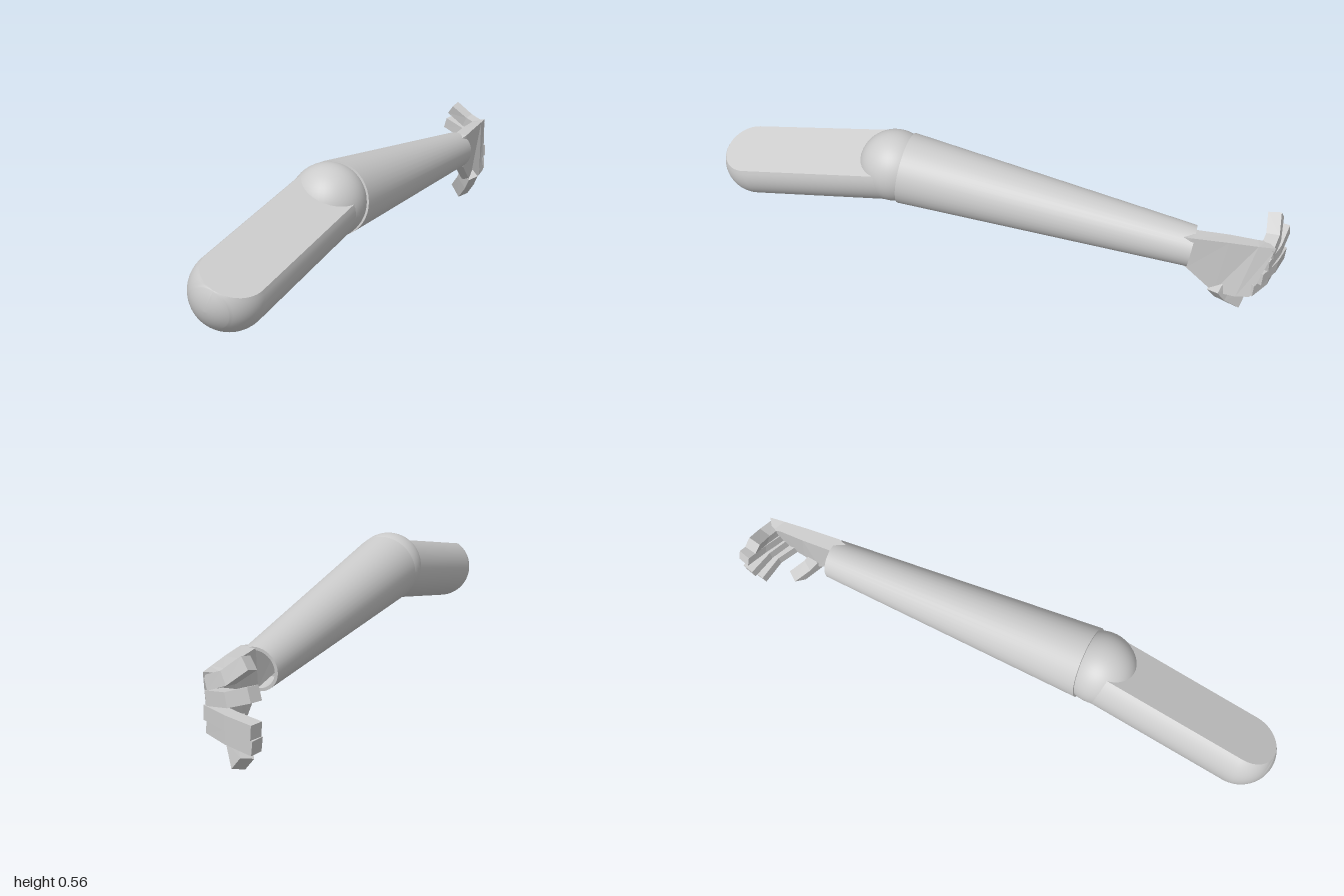
import * as THREE from 'three';
import { toCreasedNormals } from 'three/addons/utils/BufferGeometryUtils.js';

const V = (x, y, z) => new THREE.Vector3(x, y, z);
const smooth = new THREE.MeshStandardMaterial({ color: 0xcccccc });
const faceted = new THREE.MeshStandardMaterial({ color: 0xcccccc, flatShading: true });

// Surface through rows of points
function grid(rows, closed = false, caps = false) {
  const n = rows[0].length, index = [];
  for (let i = 0; i < rows.length - 1; i++) {
    for (let j = 0; j < (closed ? n : n - 1); j++) {
      const a = i * n + j, b = i * n + (j + 1) % n;
      index.push(a, b, a + n, b, b + n, a + n);
    }
  }
  if (caps) {
    const e = (rows.length - 1) * n;
    for (let j = 1; j < n - 1; j++) index.push(0, j + 1, j, e, e + j, e + j + 1);
  }
  const geo = new THREE.BufferGeometry().setFromPoints(rows.flat());
  geo.setIndex(index);
  geo.computeVertexNormals();
  return geo;
}

function add(parent, name, geo, mat) {
  const mesh = new THREE.Mesh(geo, mat);
  mesh.name = name;
  parent.add(mesh);
  return mesh;
}

// Square-section digit along a bent path
function digit(path, halfWidth, halfDepth) {
  const rows = path.map((p, i) => {
    const t = path[Math.min(i + 1, path.length - 1)].clone()
      .sub(path[Math.max(i - 1, 0)]).normalize();
    const u = t.clone().cross(V(1, 0, 0)).normalize();
    const v = t.clone().cross(u);
    return [[1, 1], [-1, 1], [-1, -1], [1, -1]].map(([a, b]) =>
      p.clone().addScaledVector(u, a * halfWidth).addScaledVector(v, b * halfDepth));
  });
  return grid(rows, true, true);
}

export function createModel() {
  const model = new THREE.Group();
  model.name = 'arm';
  const shoulder = V(-0.87, 0.327, 0.387), elbow = V(-0.325, 0.427, 0.188);

  // Upper arm: round-ended bar with a flat slice along its upper side
  const R = 0.13, h = 0.075;
  const axis = elbow.clone().sub(shoulder);
  const length = axis.length();
  axis.normalize();
  const up = V(0, 0.91, 0.4);
  up.addScaledVector(axis, -up.dot(axis)).normalize();
  const side = axis.clone().cross(up);
  const at = (s, a, b) => shoulder.clone().addScaledVector(axis, s)
    .addScaledVector(up, a).addScaledVector(side, b);
  const stations = [];
  for (let i = 0; i <= 16; i++) {
    const t = (i / 16) * Math.PI / 2;
    stations.push([-R * Math.cos(t), R * Math.sin(t)]);
  }
  const sc = -Math.sqrt(R * R - h * h); // where the slice meets the round end
  stations.push([sc, h], [length, R]);
  stations.sort((a, b) => a[0] - b[0]);
  const round = stations.map(([s, r]) => {
    const half = r > h ? Math.acos(h / r) : 0;
    return Array.from({ length: 41 }, (_, j) => {
      const q = half + (j / 40) * 2 * (Math.PI - half);
      return at(s, r * Math.cos(q), r * Math.sin(q));
    });
  });
  const flat = stations.filter(([, r]) => r >= h).map(([s, r]) => {
    const w = Math.sqrt(Math.max(0, r * r - h * h));
    return [at(s, h, -w), at(s, h, w)];
  });
  const upperArm = new THREE.Group();
  upperArm.name = 'upperArm';
  add(upperArm, 'upperArmShell', grid(round), smooth);
  add(upperArm, 'upperArmFlat', grid(flat), smooth);
  model.add(upperArm);

  // Elbow ball
  add(model, 'elbow', new THREE.SphereGeometry(0.135, 40, 28), smooth).position.copy(elbow);

  // Forearm: tapered tube with a recessed wrist opening
  const wrist = V(0.715, 0.283, -0.24);
  const dir = wrist.clone().sub(elbow).normalize();
  const start = elbow.clone().addScaledVector(dir, 0.045);
  const L = wrist.distanceTo(start);
  const profile = [[0, 0], [0.135, 0], [0.077, L], [0.066, L], [0.066, L - 0.1], [0, L - 0.1]]
    .map(([x, y]) => new THREE.Vector2(x, y));
  const forearm = add(model, 'forearm',
    toCreasedNormals(new THREE.LatheGeometry(profile, 40), 0.6), smooth);
  forearm.position.copy(start);
  forearm.quaternion.setFromUnitVectors(V(0, 1, 0), dir);

  // Hand: palm sections run from inside the wrist to the knuckles
  const hand = new THREE.Group();
  hand.name = 'hand';
  model.add(hand);
  const palm = [
    [V(0.62, 0.335, -0.175), V(0.62, 0.255, -0.175), V(0.61, 0.255, -0.22), V(0.61, 0.335, -0.22)],
    [V(0.735, 0.358, -0.19), V(0.725, 0.215, -0.195), V(0.71, 0.22, -0.24), V(0.72, 0.355, -0.245)],
    [V(0.85, 0.355, -0.252), V(0.82, 0.115, -0.245), V(0.805, 0.12, -0.28), V(0.83, 0.352, -0.3)],
    [V(0.94, 0.35, -0.302), V(0.9, 0.12, -0.265), V(0.88, 0.125, -0.298), V(0.92, 0.347, -0.34)],
    [V(0.992, 0.348, -0.332), V(0.945, 0.13, -0.285), V(0.915, 0.135, -0.312), V(0.945, 0.342, -0.36)],
  ];
  add(hand, 'palm', grid(palm, true, true), faceted);

  // Fingers curl back from the knuckles, fanned out
  const fingers = {
    littleFinger: [[0.962, 0.312, -0.33], [0.95, 0.337, -0.4], [0.92, 0.388, -0.463]],
    ringFinger: [[0.957, 0.263, -0.325], [0.955, 0.277, -0.42], [0.94, 0.308, -0.51]],
    middleFinger: [[0.95, 0.212, -0.305], [0.955, 0.206, -0.41], [0.94, 0.195, -0.513]],
    indexFinger: [[0.93, 0.16, -0.29], [0.94, 0.153, -0.39], [0.92, 0.137, -0.49]],
    thumb: [[0.825, 0.15, -0.255], [0.84, 0.1, -0.29], [0.872, 0.034, -0.358]],
  };
  for (const [name, path] of Object.entries(fingers)) {
    const w = name === 'thumb' ? 0.033 : 0.024;
    add(hand, name, digit(path.map((p) => V(...p)), w, 0.024), faceted);
  }
  return model;
}
